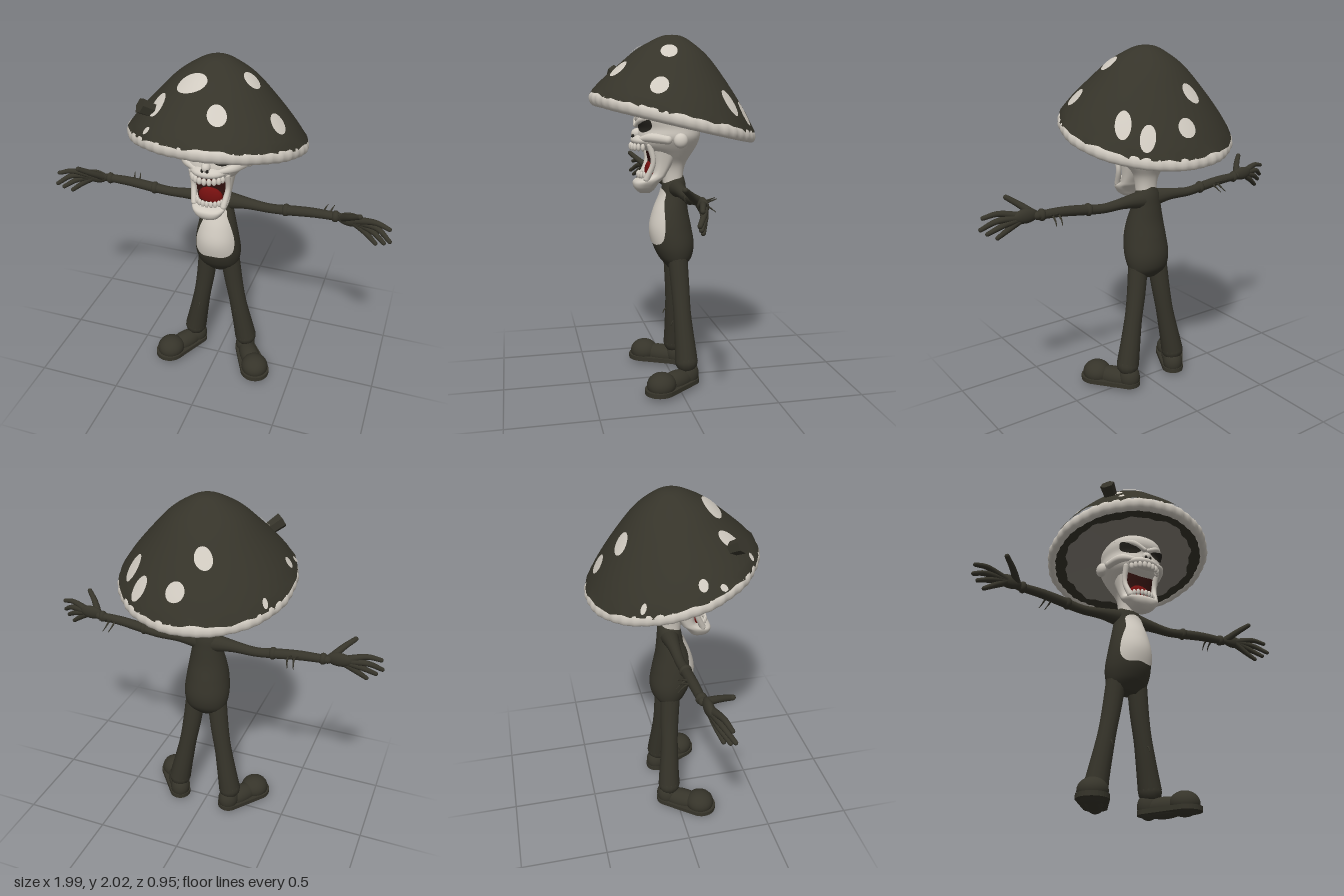
import * as THREE from 'three';
import { mergeVertices, mergeGeometries } from 'three/addons/utils/BufferGeometryUtils.js';

const paint = (name, color) => Object.assign(new THREE.MeshStandardMaterial({ color }), { name });
const V = (x, y, z) => new THREE.Vector3(x, y, z);

// Smooth interpolation of a table keyed by its first column
function sample(rows, k) {
  let i = 0;
  while (i < rows.length - 2 && k > rows[i + 1][0]) i++;
  const a = rows[i], b = rows[i + 1], p = rows[Math.max(i - 1, 0)], n = rows[Math.min(i + 2, rows.length - 1)];
  const d = b[0] - a[0], t = Math.min(1, Math.max(0, (k - a[0]) / d));
  return a.slice(1).map((_, j) => {
    j++;
    const m0 = (b[j] - p[j]) / (b[0] - p[0]) * d, m1 = (n[j] - a[j]) / (n[0] - a[0]) * d;
    const t2 = t * t, t3 = t2 * t;
    return a[j] * (2 * t3 - 3 * t2 + 1) + m0 * (t3 - 2 * t2 + t) + b[j] * (3 * t2 - 2 * t3) + m1 * (t3 - t2);
  });
}

// Revolved profile whose vertices are moved by a rule, with the seam welded
function spun(points, segs, rule) {
  const g = new THREE.LatheGeometry(points, segs, Math.PI), p = g.attributes.position, v = V(0, 0, 0);
  for (let i = 0; i < p.count; i++) {
    rule(v.fromBufferAttribute(p, i));
    p.setXYZ(i, v.x, v.y, v.z);
  }
  g.deleteAttribute('uv');
  g.deleteAttribute('normal');
  const m = mergeVertices(g, 1e-5);
  m.computeVertexNormals();
  return m;
}

// Body of sections [y, halfWidth, zBack, zFront]
function loft(rows, e = 1, n = 44) {
  const y0 = rows[0][0], y1 = rows.at(-1)[0], pts = [new THREE.Vector2(0, y0)];
  for (let i = 0; i <= n; i++) pts.push(new THREE.Vector2(1, y0 + (y1 - y0) * i / n));
  pts.push(new THREE.Vector2(0, y1));
  const pw = c => Math.sign(c) * Math.abs(c) ** e;
  return spun(pts, 48, v => {
    const [w, zb, zf] = sample(rows, v.y);
    v.x = w * pw(v.x);
    v.z = (zb + zf) / 2 + (zf - zb) / 2 * pw(v.z);
  });
}
const front = (rows, e, off = 0) => (x, y) => {
  const [w, zb, zf] = sample(rows, y);
  const k = Math.min(1, Math.abs(x / (w + off)));
  return V(x, y, (zb + zf) / 2 + ((zf - zb) / 2 + off) * (1 - k ** (2 / e)) ** (e / 2));
};

// Thin painted patch draped on a surface, outline counterclockwise
function drape(outline, project, n = 48, rings = 10) {
  const curve = new THREE.CatmullRomCurve3(outline.map(([a, b]) => V(a, b, 0)), true, 'centripetal');
  const edge = curve.getPoints(n), c = V(0, 0, 0), pos = [], idx = [];
  edge.slice(0, n).forEach(p => c.addScaledVector(p, 1 / n));
  for (let r = 0; r <= rings; r++) for (let i = 0; i <= n; i++) {
    const q = c.clone().lerp(edge[i], Math.max(r / rings, 0.001));
    pos.push(...project(q.x, q.y).toArray());
    if (r < rings && i < n) {
      const a = r * (n + 1) + i, b = a + n + 1;
      idx.push(a, b, b + 1, a, b + 1, a + 1);
    }
  }
  const g = new THREE.BufferGeometry();
  g.setAttribute('position', new THREE.Float32BufferAttribute(pos, 3));
  g.setIndex(idx);
  g.computeVertexNormals();
  return g;
}

// Tapered limb along a path with rounded ends
function limb(path, radii, segs = 20, sides = 14) {
  const curve = new THREE.CatmullRomCurve3(path.map(p => V(...p)));
  const g = new THREE.TubeGeometry(curve, segs, 1, sides), p = g.attributes.position, v = V(0, 0, 0);
  const table = radii.map((r, i) => [i / (radii.length - 1), r]);
  for (let i = 0; i < p.count; i++) {
    const u = Math.floor(i / (sides + 1)) / segs, c = curve.getPointAt(u);
    v.fromBufferAttribute(p, i).sub(c).multiplyScalar(sample(table, u)[0]).add(c);
    p.setXYZ(i, v.x, v.y, v.z);
  }
  const ends = [0, 1].map(k => new THREE.SphereGeometry(k ? radii.at(-1) : radii[0], sides, 8)
    .translate(...path.at(k ? -1 : 0)));
  return mergeGeometries([g, ...ends]);
}
const ball = (x, y, z, a, b, c) => new THREE.SphereGeometry(1, 24, 16).scale(a, b, c).translate(x, y, z);

export function createModel() {
  const root = new THREE.Group();
  const dark = paint('dark olive', 0x36342a), cream = paint('cream', 0xd0cac0), gill = paint('gill grey', 0x8a847a);
  const black = paint('eye black', 0x24221d), maroon = paint('mouth maroon', 0x32120f), red = paint('tongue red', 0x74100f);
  const add = (name, geo, mat) => {
    const m = new THREE.Mesh(geo, mat);
    m.name = name;
    root.add(m);
    return m;
  };

  // Cap, tilted up at the front
  const RX = 0.487, RZ = 0.465, TILT = 0.24;
  const dome = [[0, 1.99], [0.1, 1.985], [0.21, 1.962], [0.43, 1.89], [0.64, 1.785], [0.86, 1.66], [1, 1.565]];
  const capPoint = (x, z, off = 0) => {
    const u = Math.hypot(x / RX, z / RZ);
    return V(x, sample(dome, u)[0] + TILT * z * u + off, z);
  };
  const ragged = a => 0.012 * Math.sin(a * 7) * Math.sin(a * 3 + 1) + 0.005 * Math.sin(a * 23);
  const capPts = [];
  for (let i = 30; i >= 0; i--) capPts.push(new THREE.Vector2(i / 30, 0));
  add('cap', spun(capPts, 72, v => {
    const u = Math.hypot(v.x, v.z), a = Math.atan2(v.x, v.z);
    v.copy(capPoint(v.x * RX, v.z * RZ));
    if (u > 0.99) v.y += ragged(a) - 0.006;
  }), dark);
  const rimPts = [];
  for (let i = 0; i <= 14; i++) {
    const a = -Math.PI + i / 14 * 2 * Math.PI;
    rimPts.push(new THREE.Vector2(0.955 + 0.055 * Math.cos(a), 1.533 + 0.037 * Math.sin(a)));
  }
  add('capRim', spun(rimPts, 180, v => {
    const a = Math.atan2(v.x, v.z), k = 1 + 0.006 * Math.sin(a * 45) + 0.004 * Math.sin(a * 13);
    v.set(v.x * RX * k, v.y + TILT * v.z * RZ, v.z * RZ * k);
  }), cream);
  const under = (u0, u1, drop) => spun([u0, (u0 + u1) / 2, u1].map(u => new THREE.Vector2(u, 0)), 90, v => {
    const u = Math.hypot(v.x, v.z), a = Math.atan2(v.x, v.z);
    const k = drop && u < u0 + 0.01 ? 1 + ragged(a) * 3 : 1;
    v.set(v.x * RX * k, 1.51 + 0.05 * (1 - u * k) - drop + TILT * v.z * RZ * k, v.z * RZ * k);
  });
  add('capUnderside', under(0, 0.95, 0), gill);
  add('capUndersideEdge', under(0.8, 0.94, 0.006), dark);

  // Spots: x, z, radius in x, radius in z
  [[0.02, -0.39, 0.052, 0.028], [0.24, -0.35, 0.045, 0.034], [0.32, -0.245, 0.042, 0.045], [-0.09, -0.28, 0.05, 0.034],
    [0.2, 0.06, 0.042, 0.046], [0.365, 0.145, 0.038, 0.05], [0.1, 0.32, 0.05, 0.045], [-0.07, 0.2, 0.08, 0.05],
    [-0.24, 0.25, 0.038, 0.06], [-0.435, 0.065, 0.02, 0.025], [-0.405, -0.23, 0.014, 0.016], [-0.26, 0.365, 0.018, 0.014],
    [-0.44, 0.17, 0.012, 0.02]].forEach(([x, z, a, b]) => {
    const ring = [...Array(10)].map((_, i) => [x + a * Math.cos(i * Math.PI / 5), z - b * Math.sin(i * Math.PI / 5)]);
    add('capSpot', drape(ring, (p, q) => capPoint(p, q, 0.007), 30, 6), cream);
  });
  const stub = add('capStub', new THREE.CylinderGeometry(0.043, 0.036, 0.1, 6).toNonIndexed(), dark);
  stub.geometry.computeVertexNormals();
  stub.position.set(-0.285, 1.765, 0.27);
  stub.quaternion.setFromUnitVectors(V(0, 1, 0), V(-0.6, 0.45, 0.5).normalize());

  // Skull and neck
  const skull = [[1.1, 0.06, -0.06, 0.05], [1.2, 0.06, -0.06, 0.06], [1.27, 0.075, -0.075, 0.08], [1.33, 0.115, -0.11, 0.13],
    [1.38, 0.15, -0.14, 0.195], [1.43, 0.175, -0.155, 0.205], [1.48, 0.172, -0.155, 0.198], [1.53, 0.175, -0.15, 0.215],
    [1.58, 0.165, -0.14, 0.205], [1.68, 0.1, -0.08, 0.12]];
  add('skull', loft(skull, 0.9), cream);
  const onSkull = front(skull, 0.9, 0.007);
  add('muzzle', ball(0, 1.408, 0.155, 0.105, 0.04, 0.085), cream);
  add('nose', ball(0, 1.445, 0.205, 0.026, 0.03, 0.032), cream);

  // Open jaw, mouth and tongue
  const jaw = [[1.105, 0.02, 0.13, 0.19], [1.125, 0.06, 0.11, 0.215], [1.155, 0.085, 0.09, 0.228], [1.18, 0.098, 0.07, 0.218],
    [1.2, 0.1, 0.05, 0.165], [1.22, 0.1, 0.04, 0.135], [1.27, 0.105, 0.01, 0.13], [1.33, 0.115, -0.02, 0.14], [1.41, 0.13, -0.04, 0.155]];
  add('jaw', loft(jaw, 0.75), cream);
  add('mouth', drape([[-0.088, 1.385], [-0.086, 1.3], [-0.068, 1.215], [0, 1.205], [0.068, 1.215], [0.086, 1.3], [0.088, 1.385], [0, 1.39]],
    front(jaw, 0.75, 0.006)), maroon);
  add('tongue', ball(0, 1.228, 0.13, 0.07, 0.062, 0.03), red);
  for (let i = -4; i <= 4; i++) {
    const a = i * 0.3, s = Math.sin(a), c = Math.cos(a);
    add('upperTooth', ball(s * 0.092, 1.373, 0.155 + c * 0.085, 0.014, 0.022, 0.012), cream);
    add('lowerTooth', ball(s * 0.078, 1.212, 0.13 + c * 0.07, 0.012, 0.02, 0.01), cream);
  }

  // Torso with pale belly
  const torso = [[0.66, 0.06, -0.06, 0.03], [0.69, 0.105, -0.09, 0.055], [0.73, 0.125, -0.115, 0.085], [0.8, 0.135, -0.125, 0.115],
    [0.9, 0.126, -0.11, 0.13], [1, 0.108, -0.09, 0.108], [1.1, 0.085, -0.08, 0.068], [1.16, 0.075, -0.075, 0.055], [1.21, 0.04, -0.06, 0.03]];
  add('torso', loft(torso), dark);
  add('belly', drape([[-0.05, 1.11], [-0.062, 1.04], [-0.088, 0.97], [-0.104, 0.9], [-0.1, 0.84], [-0.07, 0.81], [0, 0.815],
    [0.07, 0.81], [0.11, 0.83], [0.12, 0.9], [0.098, 1], [0.075, 1.06], [0.06, 1.11], [0, 1.13]], front(torso, 1, 0.007)), cream);

  for (const s of [1, -1]) {
    const mir = path => path.map(([x, y, z]) => [x * s, y, z]);
    // Face details
    const eye = [[0.032, 1.488], [0.055, 1.465], [0.1, 1.458], [0.138, 1.48], [0.145, 1.528], [0.085, 1.508]].map(([x, y]) => [x * s, y]);
    add('eye', drape(s > 0 ? eye : eye.reverse(), onSkull), black);
    add('brow', limb(mir([[0.012, 1.492, 0.21], [0.08, 1.528, 0.188], [0.15, 1.55, 0.11]]), [0.014, 0.018, 0.012]), cream);
    add('nostril', ball(s * 0.014, 1.432, 0.228, 0.008, 0.012, 0.008), black);
    add('cheekbone', limb(mir([[0.165, 1.42, 0.06], [0.13, 1.43, 0.14], [0.07, 1.42, 0.19]]), [0.025, 0.028, 0.015]), cream);
    add('ear', ball(s * 0.178, 1.415, -0.01, 0.03, 0.042, 0.04), cream);
    add('lip', limb(mir([[0.102, 1.385, 0.15], [0.1, 1.29, 0.13], [0.084, 1.195, 0.165]]), [0.017, 0.015, 0.018]), cream);

    // Arm and knots
    add('arm', limb(mir([[0.03, 1.13, -0.015], [0.15, 1.13, -0.015], [0.3, 1.122, -0.015], [0.4, 1.132, -0.01], [0.55, 1.148, -0.005], [0.7, 1.152, 0]]),
      [0.055, 0.034, 0.027, 0.029, 0.027, 0.023], 30), dark);
    add('elbow', ball(s * 0.395, 1.132, -0.01, 0.026, 0.036, 0.034), dark);
    add('wrist', ball(s * 0.675, 1.152, 0, 0.024, 0.034, 0.03), dark);
    // Hand
    add('palm', ball(s * 0.76, 1.157, 0.015, 0.072, 0.04, 0.026), dark);
    add('thumb', limb(mir([[0.72, 1.165, 0.02], [0.765, 1.205, 0.07], [0.82, 1.245, 0.115]]), [0.022, 0.018, 0.014]), dark);
    [[0.9, 1.185, 0.05, 0.975, 1.17, 0.07], [0.91, 1.148, 0.045, 0.985, 1.105, 0.085], [0.88, 1.122, 0.035, 0.955, 1.08, 0.07],
      [0.85, 1.1, 0.03, 0.91, 1.055, 0.05]].forEach(([a, b, c, d, e, f]) =>
      add('finger', limb(mir([[0.77, 1.155, 0.015], [a, b, c], [d, e, f]]), [0.024, 0.017, 0.012]), dark));
    // Arm thorns
    for (let i = 0; i < 4; i++) {
      const x = (s > 0 ? 0.585 : 0.485) + i * 0.018, up = i % 2 ? 0.025 : -0.045;
      add('thorn', limb(mir([[x, 1.145, -0.015], [x + 0.004, 1.145 + up / 2, -0.055], [x + 0.014, 1.145 + up, -0.085]]), [0.007, 0.005, 0.002], 6, 6), dark);
    }

    // Leg with flared cuff
    add('leg', limb(mir([[0.07, 0.72, -0.018], [0.092, 0.55, -0.028], [0.125, 0.36, -0.036], [0.155, 0.2, -0.045], [0.168, 0.13, -0.048]]),
      [0.058, 0.055, 0.052, 0.058, 0.067]), dark);
    add('legThorn', limb(mir([[0.115, 0.37, 0], [0.117, 0.355, 0.025], [0.118, 0.335, 0.034]]), [0.007, 0.005, 0.002], 6, 6), dark);

    // Shoe turned outward
    const shoe = new THREE.Group();
    shoe.name = 'shoe';
    const outline = new THREE.Shape().absarc(0, -0.215, 0.08, 0, Math.PI, false).absarc(0, 0, 0.068, Math.PI, 2 * Math.PI, false);
    // Outline is laid flat, so its -y runs towards the toe
    const pts = [];
    for (let i = 0; i <= 16; i++) pts.push(new THREE.Vector2(0.064 * Math.cos(i * Math.PI / 16), 0.064 * Math.sin(i * Math.PI / 16)));
    for (let i = 0; i <= 16; i++) pts.push(new THREE.Vector2(-0.088 * Math.cos(i * Math.PI / 16), -0.22 - 0.092 * Math.sin(i * Math.PI / 16)));
    outline.curves.length = 0;
    outline.setFromPoints(pts);
    const sole = new THREE.ExtrudeGeometry(outline, { depth: 0.026, bevelEnabled: false }).rotateX(-Math.PI / 2);
    [['sole', sole], ['toe', ball(0, 0.045, 0.215, 0.082, 0.07, 0.085)], ['instep', ball(0, 0.035, 0.1, 0.06, 0.06, 0.13)],
      ['heel', ball(0, 0.05, 0, 0.06, 0.075, 0.064)]].forEach(([n, g]) => {
      const m = new THREE.Mesh(g, dark);
      m.name = n;
      shoe.add(m);
    });
    shoe.position.set(s * 0.165, 0, -0.06);
    shoe.rotation.y = s * 0.56;
    root.add(shoe);
  }
  return root;
}
